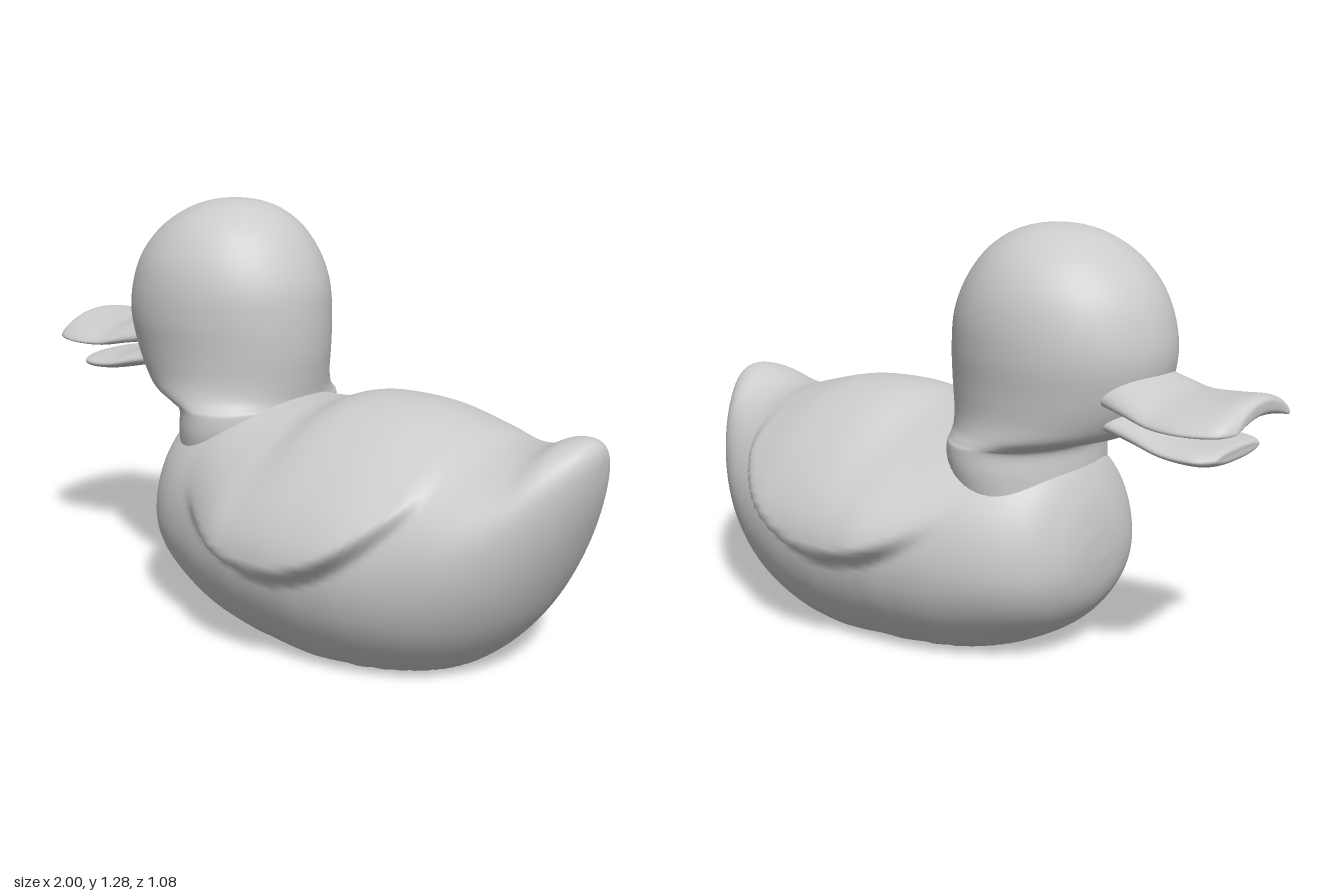
import * as THREE from 'three';

const material = new THREE.MeshStandardMaterial({ color: 0xcccccc, side: THREE.DoubleSide });
const smooth = THREE.MathUtils.smoothstep;

// Skins closed rings through smoothly interpolated stations; place(values, angle) gives a point.
function loft(name, stations, rings, sides, place) {
  const columns = stations[0].map((_, k) =>
    new THREE.SplineCurve(stations.map((s, i) => new THREE.Vector2(i, s[k]))));
  const positions = [], index = [];
  for (let i = 0; i <= rings; i++) {
    const values = columns.map((c) => c.getPoint(i / rings).y);
    for (let j = 0; j < sides; j++) {
      positions.push(...place(values, (j / sides) * Math.PI * 2));
      if (i === rings) continue;
      const a = i * sides + j, b = i * sides + ((j + 1) % sides);
      index.push(a, a + sides, b + sides, a, b + sides, b);
    }
  }
  const geometry = new THREE.BufferGeometry();
  geometry.setAttribute('position', new THREE.Float32BufferAttribute(positions, 3));
  geometry.setIndex(index);
  geometry.computeVertexNormals();
  const mesh = new THREE.Mesh(geometry, material);
  mesh.name = name;
  return mesh;
}

// Folded wing: a swelling above a curved lower edge that fades into the back.
function wingSwell(x, y) {
  const t = x - 0.2;
  const edge = 0.27 + (t < 0 ? 1.0 : 1.35) * t * t;
  return 0.075 * smooth(y, edge - 0.01, edge + 0.05) * (1 - smooth(y, 0.35, 0.7))
    * smooth(x, -0.22, 0.08) * (1 - smooth(x, 0.6, 0.66));
}

// Bill half: flat oval sections bowed upwards in the middle.
function billPoint([x, y, thick, width, arch], a) {
  const c = Math.cos(a), s = Math.sin(a);
  const u = Math.sign(c) * Math.pow(Math.abs(c), 0.8);
  return [x, y + thick * s + arch * (1 - u * u), -0.02 + width * u];
}

export function createModel() {
  const group = new THREE.Group();
  group.name = 'duck';

  // Body and upturned tail: x, top, bottom, half width, height of widest point
  const body = [
    [-0.5, 0.3, 0.3, 0, 0.3],
    [-0.49, 0.4, 0.21, 0.13, 0.3],
    [-0.46, 0.51, 0.14, 0.22, 0.3],
    [-0.4, 0.61, 0.075, 0.3, 0.3],
    [-0.3, 0.66, 0.015, 0.365, 0.3],
    [-0.15, 0.685, -0.05, 0.42, 0.3],
    [0, 0.685, -0.08, 0.45, 0.3],
    [0.1, 0.695, -0.09, 0.46, 0.3],
    [0.2, 0.73, -0.1, 0.465, 0.3],
    [0.3, 0.742, -0.1, 0.465, 0.3],
    [0.45, 0.735, -0.08, 0.45, 0.31],
    [0.6, 0.7, -0.03, 0.41, 0.33],
    [0.72, 0.668, 0.05, 0.36, 0.38],
    [0.82, 0.675, 0.165, 0.29, 0.44],
    [0.9, 0.71, 0.31, 0.21, 0.52],
    [0.96, 0.715, 0.46, 0.125, 0.6],
    [0.99, 0.695, 0.57, 0.06, 0.64],
    [1, 0.66, 0.66, 0, 0.66],
  ];
  group.add(loft('body', body, 170, 120, ([x, top, bottom, width, mid], a) => {
    const s = Math.sin(a), c = Math.cos(a);
    const y = Math.max(0, mid + s * (s > 0 ? top - mid : mid - bottom));
    const z = Math.max(0, width) * c;
    return [x, y, z + Math.sign(c) * wingSwell(x, y) * Math.min(1, Math.abs(c) * 3)];
  }));

  // Neck and head: y, front x, back x, half width
  const head = [
    [0.45, -0.44, -0.06, 0.28],
    [0.57, -0.43, -0.03, 0.305],
    [0.64, -0.43, -0.025, 0.305],
    [0.66, -0.48, -0.025, 0.3],
    [0.69, -0.575, -0.022, 0.293],
    [0.74, -0.63, -0.015, 0.287],
    [0.82, -0.67, -0.006, 0.291],
    [0.92, -0.69, -0.005, 0.3],
    [1.02, -0.675, -0.015, 0.295],
    [1.11, -0.635, -0.05, 0.27],
    [1.19, -0.565, -0.105, 0.218],
    [1.245, -0.48, -0.175, 0.147],
    [1.272, -0.4, -0.25, 0.072],
    [1.28, -0.325, -0.325, 0],
  ];
  group.add(loft('head', head, 80, 64, ([y, front, back, width], a) => [
    (front + back) / 2 - Math.sin(a) * (back - front) / 2, y, -0.007 + width * Math.cos(a),
  ]));

  // Bill halves: x, edge height, half thickness, half width, bow
  const upperBill = [
    [-1, 0.79, 0, 0.14, 0.045],
    [-0.995, 0.788, 0.02, 0.165, 0.045],
    [-0.96, 0.785, 0.03, 0.21, 0.045],
    [-0.87, 0.782, 0.028, 0.232, 0.042],
    [-0.77, 0.785, 0.032, 0.217, 0.035],
    [-0.68, 0.805, 0.042, 0.195, 0.035],
    [-0.56, 0.83, 0.055, 0.16, 0.04],
  ];
  const lowerBill = [
    [-0.93, 0.7, 0, 0.1, 0],
    [-0.925, 0.698, 0.02, 0.13, 0],
    [-0.88, 0.697, 0.028, 0.17, 0],
    [-0.78, 0.703, 0.028, 0.172, 0.005],
    [-0.66, 0.73, 0.035, 0.15, 0.01],
    [-0.53, 0.755, 0.04, 0.13, 0.01],
  ];
  group.add(loft('upperBill', upperBill, 40, 48, billPoint));
  group.add(loft('lowerBill', lowerBill, 36, 48, billPoint));

  return group;
}
